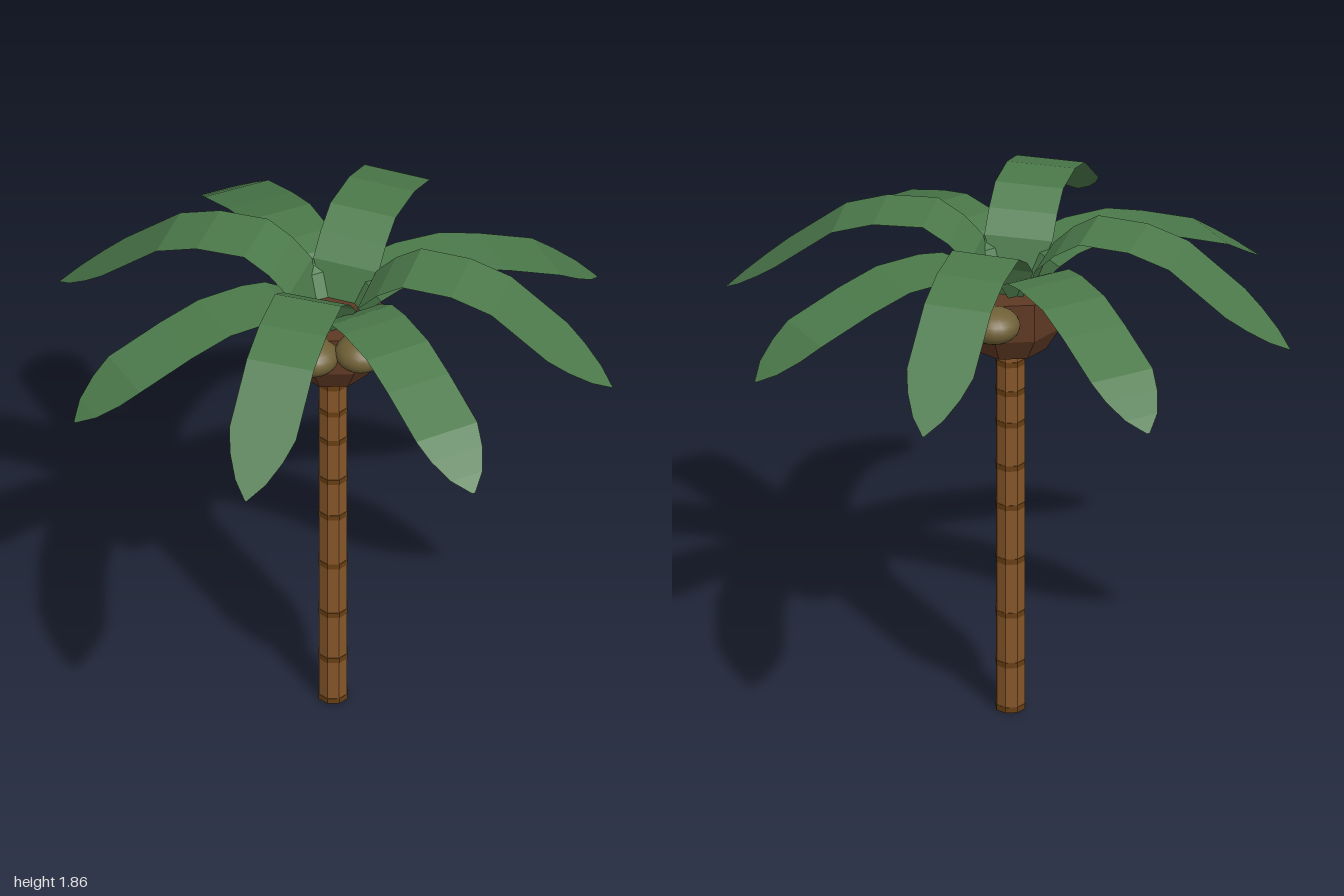
import * as THREE from 'three';

const mat = (color, extra = {}) => new THREE.MeshStandardMaterial({ color, ...extra });

function add(parent, name, geometry, material, x = 0, y = 0, z = 0) {
  const mesh = new THREE.Mesh(geometry, material);
  mesh.name = name;
  mesh.position.set(x, y, z);
  parent.add(mesh);
  return mesh;
}

// Thin strip running out along +z; each row is [distance, height, half width]
function frondGeometry(rows) {
  const positions = [], index = [];
  rows.forEach(([r, y, w], i) => {
    positions.push(-w, y, r, w, y, r);
    if (i === 0) return;
    const a = 2 * i - 2;
    index.push(a, a + 2, a + 1, a + 1, a + 2, a + 3);
  });
  const g = new THREE.BufferGeometry();
  g.setAttribute('position', new THREE.Float32BufferAttribute(positions, 3));
  g.setIndex(index);
  g.computeVertexNormals();
  return g;
}

export function createModel() {
  const palm = new THREE.Group();
  palm.name = 'palmTree';
  const barkMat = mat(0x855629, { flatShading: true });
  const ringMat = mat(0x693f14, { flatShading: true });
  const crownMat = mat(0x5f3924, { flatShading: true });
  const leafMat = mat(0x4c7a4b, { flatShading: true, side: THREE.DoubleSide });
  const nutMat = mat(0x6f6036);

  // Axis of the trunk sits slightly off the middle of the foliage
  const cx = -0.006;

  // Eight-sided trunk with darker growth rings
  add(palm, 'trunk', new THREE.CylinderGeometry(0.052, 0.052, 1.37, 8), barkMat, cx, 0.685);
  for (const y of [0.01, 0.18, 0.37, 0.575, 0.78, 0.93, 1.095, 1.215, 1.325]) {
    add(palm, 'trunkRing', new THREE.CylinderGeometry(0.0535, 0.0535, 0.02, 8), ringMat, cx, y);
  }

  // Faceted bowl at the head of the trunk
  const bowl = [[0, 1.345], [0.127, 1.383], [0.18, 1.47], [0.18, 1.61], [0, 1.61]]
    .map(([r, y]) => new THREE.Vector2(r, y));
  add(palm, 'crown', new THREE.LatheGeometry(bowl, 8), crownMat, cx);

  // Coconuts half sunk into the crown
  const nutGeo = new THREE.SphereGeometry(0.09, 20, 14);
  for (const [x, y, z] of [[0, 1.565, 0.205], [0.152, 1.58, 0.142], [-0.02, 1.565, -0.23]]) {
    add(palm, 'coconut', nutGeo, nutMat, x, y, z).scale.y = 0.68;
  }

  // Fronds: a raised set on the axes and a lower set on the diagonals
  const upper = frondGeometry([
    [0.075, 1.6, 0.065], [0.12, 1.73, 0.12], [0.19, 1.8, 0.12], [0.28, 1.855, 0.12],
    [0.455, 1.848, 0.12], [0.6, 1.802, 0.12], [0.8, 1.648, 0.12],
    [0.87, 1.594, 0.095], [0.94, 1.54, 0.055], [0.995, 1.498, 0.003]]);
  const lower = frondGeometry([
    [0.085, 1.6, 0.05], [0.13, 1.69, 0.11], [0.2, 1.728, 0.12], [0.29, 1.742, 0.12],
    [0.455, 1.736, 0.12], [0.6, 1.69, 0.12], [0.8, 1.61, 0.12],
    [0.87, 1.562, 0.1], [0.94, 1.512, 0.062], [0.99, 1.472, 0.006]]);
  for (const angle of [0.07, Math.PI / 2 + 0.09, Math.PI, -Math.PI / 2 + 0.025]) {
    add(palm, 'upperFrond', upper, leafMat, cx).rotation.y = angle;
  }
  for (const angle of [0.883, 2.37, -2.34, -0.727]) {
    add(palm, 'lowerFrond', lower, leafMat, cx).rotation.y = angle;
  }
  return palm;
}
